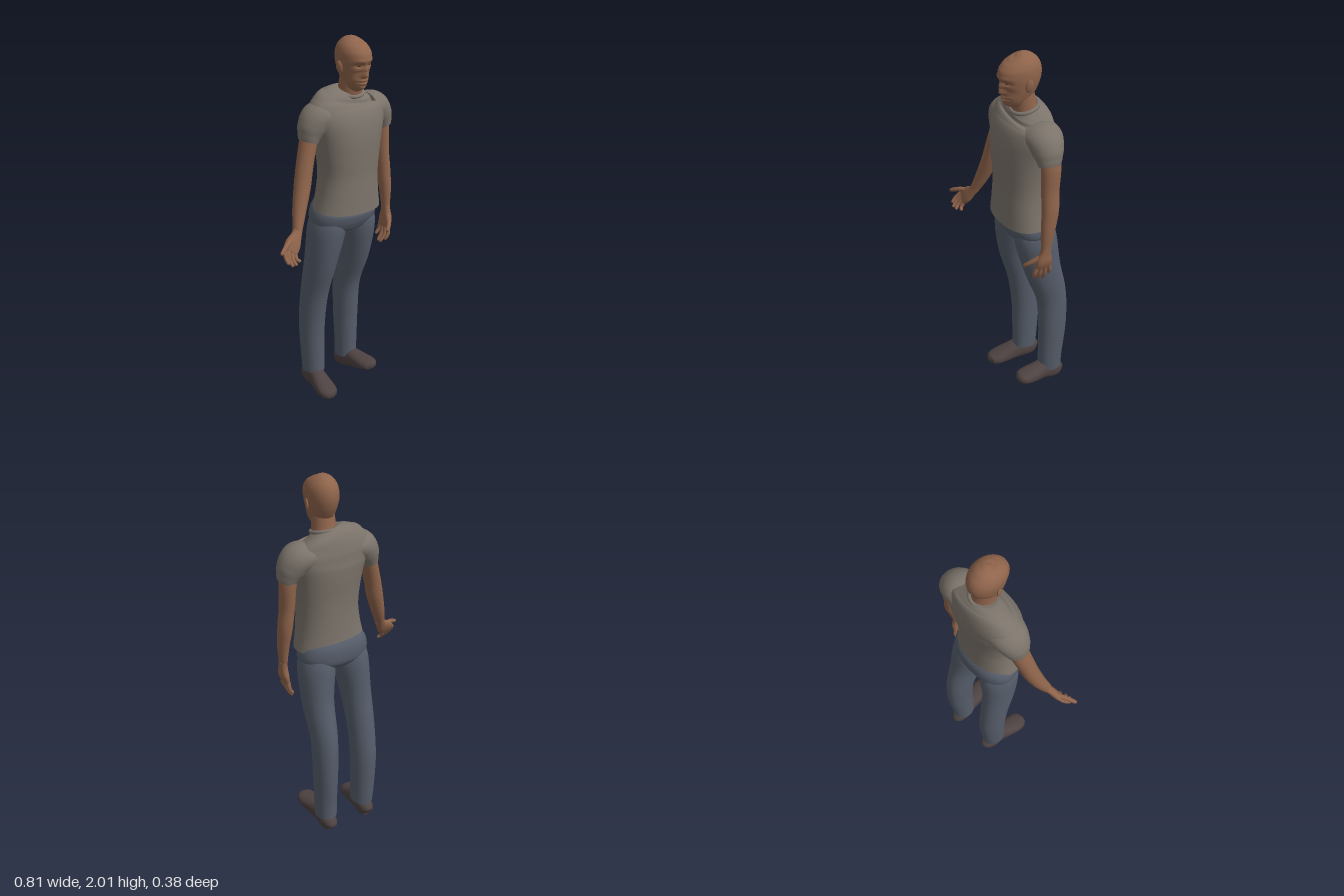
import * as THREE from 'three';

const V = (x, y, z) => new THREE.Vector3(x, y, z);
const X = V(1, 0, 0);
const colour = (name, hex) => {
  const m = new THREE.MeshStandardMaterial({ color: hex });
  m.name = name;
  return m;
};

// Smooth capped tube through sections [x, y, z, halfWidthAlongRef, otherHalfWidth].
function loft(sections, { n = 28, steps = 6, ref = X, power = 2 } = {}) {
  const centre = new THREE.CatmullRomCurve3(sections.map(s => V(s[0], s[1], s[2])), false, 'catmullrom');
  const radius = new THREE.CatmullRomCurve3(sections.map(s => V(s[3], s[4], 0)), false, 'catmullrom');
  const rings = (sections.length - 1) * steps;
  const pos = [], idx = [];
  const bend = c => Math.sign(c) * Math.abs(c) ** (2 / power);
  for (let i = 0; i <= rings; i++) {
    const t = i / rings, c = centre.getPoint(t), r = radius.getPoint(t), d = centre.getTangent(t);
    const u = ref.clone().addScaledVector(d, -ref.dot(d)).normalize();
    const v = d.clone().cross(u);
    for (let j = 0; j < n; j++) {
      const a = j / n * Math.PI * 2;
      const p = c.clone().addScaledVector(u, bend(Math.cos(a)) * r.x).addScaledVector(v, bend(Math.sin(a)) * r.y);
      pos.push(p.x, p.y, p.z);
      if (i < rings) {
        const k = i * n + j, l = i * n + (j + 1) % n;
        idx.push(k, l, l + n, k, l + n, k + n);
      }
    }
  }
  // end caps with their own vertices
  for (const end of [0, 1]) {
    const from = end * rings * n, base = pos.length / 3;
    for (let j = 0; j < n * 3; j++) pos.push(pos[from * 3 + j]);
    pos.push(...centre.getPoint(end).toArray());
    for (let j = 0; j < n; j++) {
      const k = base + j, l = base + (j + 1) % n;
      idx.push(base + n, ...(end ? [k, l] : [l, k]));
    }
  }
  const g = new THREE.BufferGeometry();
  g.setAttribute('position', new THREE.Float32BufferAttribute(pos, 3));
  g.setIndex(idx);
  g.computeVertexNormals();
  return g;
}

// Press facial features into the front of the head.
function sculptFace(g) {
  const p = g.attributes.position;
  const bump = (d, s) => Math.exp(-d * d / (2 * s * s));
  for (let i = 0; i < p.count; i++) {
    const x = Math.abs(p.getX(i) - 0.13), y = p.getY(i), z = p.getZ(i);
    const front = THREE.MathUtils.smoothstep(z, 0.08, 0.125);
    const ridge = THREE.MathUtils.smoothstep(1.895 - y, 0, 0.065) * THREE.MathUtils.smoothstep(y, 1.808, 1.824);
    const dz = -0.013 * bump(x - 0.032, 0.015) * bump(y - 1.878, 0.009)
      + 0.004 * bump(x - 0.03, 0.02) * bump(y - 1.9, 0.007)
      + 0.022 * ridge * bump(x, 0.007 + 0.006 * ridge)
      + 0.009 * bump(x, 0.02) * (bump(y - 1.799, 0.005) + bump(y - 1.784, 0.005))
      - 0.004 * bump(x, 0.024) * bump(y - 1.791, 0.003)
      + 0.008 * bump(x, 0.02) * bump(y - 1.76, 0.009);
    p.setZ(i, z + dz * front);
  }
  g.computeVertexNormals();
  return g;
}

export function createModel() {
  const skin = colour('skin', 0x8f644b);
  const shirt = colour('shirt', 0x7c746b);
  const denim = colour('trousers', 0x565d6a);
  const leather = colour('shoes', 0x4e4242);
  const dark = colour('eyes', 0x4a3328);

  const model = new THREE.Group();
  model.name = 'standingMan';
  const add = (name, geometry, material, parent = model) => {
    const m = new THREE.Mesh(geometry, material);
    m.name = name;
    parent.add(m);
    return m;
  };

  // head and neck
  add('head', sculptFace(loft([
    [0.13, 1.745, 0.108, 0.018, 0.025], [0.13, 1.757, 0.1, 0.037, 0.045], [0.13, 1.78, 0.085, 0.054, 0.067],
    [0.13, 1.82, 0.064, 0.068, 0.088], [0.13, 1.86, 0.054, 0.076, 0.104], [0.13, 1.9, 0.05, 0.08, 0.112],
    [0.13, 1.94, 0.05, 0.077, 0.105], [0.13, 1.972, 0.053, 0.061, 0.08], [0.13, 1.992, 0.057, 0.034, 0.044],
    [0.13, 2.0, 0.06, 0.002, 0.002]], { n: 96, steps: 9 })), skin);
  add('neck', loft([[0.13, 1.66, 0.01, 0.075, 0.07], [0.13, 1.73, 0.025, 0.063, 0.062],
    [0.13, 1.79, 0.036, 0.06, 0.06], [0.13, 1.85, 0.045, 0.058, 0.06]]), skin);
  for (const s of [-1, 1]) {
    const ear = add(s < 0 ? 'rightEar' : 'leftEar', new THREE.SphereGeometry(1, 20, 14), skin);
    ear.scale.set(0.008, 0.032, 0.019);
    ear.position.set(0.13 + s * 0.083, 1.862, 0.045);
    ear.rotation.set(-0.2, -s * 0.35, -s * 0.12);
    const eye = add(s < 0 ? 'rightEye' : 'leftEye', new THREE.SphereGeometry(1, 16, 10), dark);
    eye.scale.set(0.011, 0.0035, 0.004);
    eye.position.set(0.13 + s * 0.032, 1.877, 0.1385);
    eye.rotation.y = s * 0.3;
  }

  // shirt body, collar and sleeves
  add('shirtBody', loft([
    [0.108, 1.1, 0.03, 0.193, 0.134], [0.112, 1.2, 0.032, 0.175, 0.13], [0.115, 1.3, 0.032, 0.167, 0.128],
    [0.115, 1.4, 0.032, 0.176, 0.132], [0.115, 1.5, 0.028, 0.193, 0.137], [0.115, 1.58, 0.02, 0.215, 0.133],
    [0.115, 1.64, 0.008, 0.222, 0.116], [0.118, 1.68, 0.004, 0.19, 0.098], [0.123, 1.708, 0.01, 0.14, 0.082],
    [0.128, 1.73, 0.016, 0.08, 0.062]], { n: 48, power: 2.2 }), shirt);
  const collar = add('collar', new THREE.TorusGeometry(0.068, 0.01, 10, 40), shirt);
  collar.position.set(0.13, 1.722, 0.022);
  collar.rotation.x = Math.PI / 2 + 0.25;
  for (const s of [-1, 1]) {
    add(s < 0 ? 'rightSleeve' : 'leftSleeve', loft([
      [0.12, 1.625, 0.01, 0.1, 0.065], [0.175, 1.61, 0.008, 0.095, 0.08], [0.212, 1.565, 0.01, 0.08, 0.074],
      [0.229, 1.53, 0.012, 0.067, 0.058], [0.238, 1.5, 0.014, 0.058, 0.046]
    ].map(([x, ...r]) => [0.115 + s * x, ...r]), { ref: V(0, 0, 1) }), shirt);
  }

  // bare arms
  add('rightArm', loft([
    [-0.1, 1.56, 0.005, 0.046, 0.052], [-0.128, 1.48, 0.015, 0.044, 0.05], [-0.16, 1.37, 0.03, 0.044, 0.046],
    [-0.183, 1.28, 0.043, 0.044, 0.044], [-0.22, 1.17, 0.068, 0.036, 0.037], [-0.255, 1.075, 0.1, 0.024, 0.026]]), skin);
  add('leftArm', loft([
    [0.335, 1.56, 0.005, 0.042, 0.05], [0.352, 1.48, 0.005, 0.042, 0.052], [0.357, 1.36, 0.01, 0.038, 0.047],
    [0.368, 1.25, 0.015, 0.037, 0.045], [0.374, 1.14, 0.03, 0.03, 0.037], [0.373, 1.03, 0.04, 0.02, 0.026]]), skin);

  // hands: a flat palm, then each digit as base, joint and tip
  const hand = (name, palm, ref, digits) => {
    const g = new THREE.Group();
    g.name = name;
    model.add(g);
    add('palm', loft(palm, { ref, n: 20, power: 2.4 }), skin, g);
    digits.forEach(([base, joint, tip], i) => {
      const r = i ? 0.0105 : 0.0125;
      const end = V(...tip).lerp(V(...joint), 0.15).toArray();
      add(i ? 'finger' + i : 'thumb', loft([[...base, r * 1.1, r * 1.1], [...joint, r, r],
        [...end, r * 0.8, r * 0.8], [...tip, r * 0.25, r * 0.25]], { ref, n: 12, steps: 4 }), skin, g);
    });
  };
  hand('rightHand', [[-0.25, 1.085, 0.095, 0.025, 0.022], [-0.268, 1.058, 0.108, 0.029, 0.02],
    [-0.298, 1.025, 0.122, 0.043, 0.02], [-0.325, 0.995, 0.136, 0.043, 0.014], [-0.332, 0.987, 0.14, 0.034, 0.007]], X, [
    [[-0.305, 1.045, 0.114], [-0.352, 1.034, 0.143], [-0.405, 1.01, 0.174]],
    [[-0.35, 1.014, 0.127], [-0.368, 0.982, 0.155], [-0.368, 0.95, 0.184]],
    [[-0.336, 1.0, 0.134], [-0.352, 0.965, 0.163], [-0.346, 0.934, 0.19]],
    [[-0.318, 0.988, 0.139], [-0.33, 0.957, 0.164], [-0.32, 0.932, 0.186]],
    [[-0.302, 0.976, 0.143], [-0.304, 0.953, 0.158], [-0.287, 0.938, 0.17]]]);
  hand('leftHand', [[0.374, 1.045, 0.038, 0.026, 0.021], [0.373, 1.01, 0.042, 0.03, 0.02],
    [0.37, 0.965, 0.046, 0.044, 0.021], [0.362, 0.925, 0.045, 0.043, 0.014], [0.36, 0.915, 0.045, 0.034, 0.007]], V(0, 0, 1), [
    [[0.367, 0.99, 0.068], [0.345, 0.96, 0.105], [0.313, 0.927, 0.132]],
    [[0.36, 0.93, 0.078], [0.354, 0.89, 0.09], [0.335, 0.855, 0.085]],
    [[0.362, 0.925, 0.056], [0.352, 0.875, 0.062], [0.325, 0.835, 0.056]],
    [[0.362, 0.925, 0.033], [0.355, 0.875, 0.033], [0.33, 0.832, 0.032]],
    [[0.362, 0.93, 0.013], [0.358, 0.89, 0.005], [0.34, 0.86, 0.002]]]);

  // trousers
  add('hips', loft([[0.107, 1.14, 0.02, 0.155, 0.105], [0.105, 1.1, 0.01, 0.186, 0.126],
    [0.103, 1.05, 0.002, 0.193, 0.124], [0.103, 1.01, -0.002, 0.17, 0.11], [0.103, 0.985, -0.005, 0.11, 0.085]],
  { n: 40, power: 2.3 }), denim);
  add('rightLeg', loft([
    [0.015, 1.07, 0.005, 0.085, 0.1], [0.001, 0.98, -0.002, 0.097, 0.112], [-0.021, 0.8, -0.022, 0.081, 0.1],
    [-0.031, 0.6, -0.064, 0.073, 0.084], [-0.034, 0.4, -0.088, 0.069, 0.08], [-0.032, 0.2, -0.085, 0.064, 0.073],
    [-0.03, 0.095, -0.08, 0.06, 0.068]], { n: 36 }), denim);
  add('leftLeg', loft([
    [0.19, 1.07, 0.005, 0.085, 0.1], [0.205, 0.98, -0.006, 0.097, 0.112], [0.218, 0.8, -0.04, 0.082, 0.1],
    [0.217, 0.6, -0.098, 0.07, 0.086], [0.218, 0.4, -0.11, 0.065, 0.08], [0.215, 0.2, -0.102, 0.06, 0.07],
    [0.213, 0.1, -0.1, 0.058, 0.066]], { n: 36 }), denim);

  // shoes, with the left toe raised off the ground
  for (const s of [-1, 1]) {
    const shoe = add(s < 0 ? 'rightShoe' : 'leftShoe', loft([
      [0, 0.04, -0.028, 0.012, 0.015], [0, 0.046, -0.015, 0.035, 0.04], [0, 0.052, 0.03, 0.046, 0.052],
      [0, 0.058, 0.09, 0.046, 0.057], [s * 0.005, 0.045, 0.16, 0.053, 0.045], [s * 0.008, 0.034, 0.22, 0.055, 0.034],
      [s * 0.006, 0.028, 0.256, 0.04, 0.026], [s * 0.004, 0.026, 0.27, 0.012, 0.01]], { power: 2.3 }), leather);
    shoe.position.set(s < 0 ? -0.033 : 0.212, s < 0 ? 0 : 0.006, -0.13);
    shoe.rotation.set(s < 0 ? 0 : -0.28, s * 0.07, 0);
  }
  return model;
}
